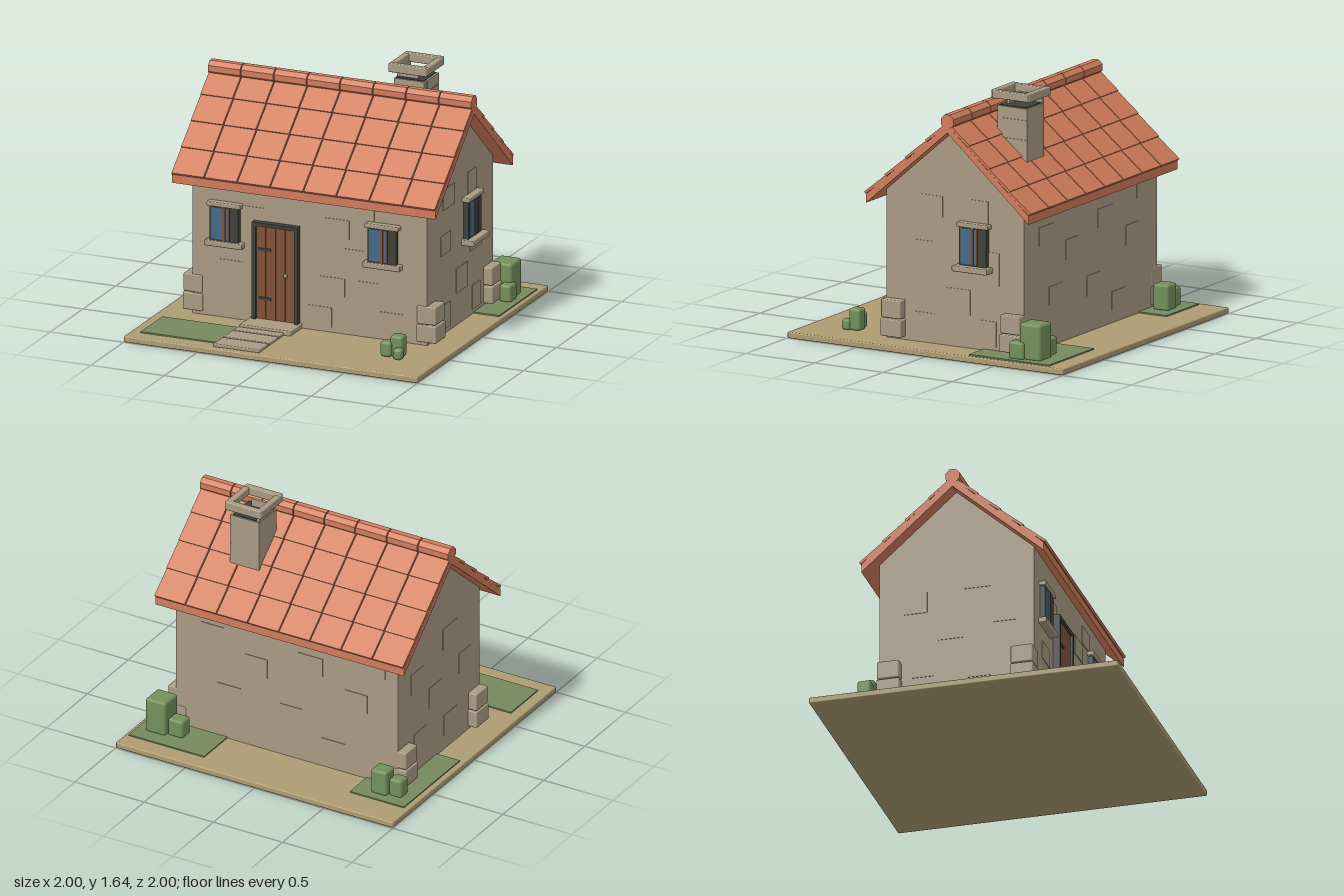
import * as THREE from 'three';
import { RoundedBoxGeometry } from 'three/addons/geometries/RoundedBoxGeometry.js';

const paint = (name, color) => {
  const m = new THREE.MeshStandardMaterial({ color });
  m.name = name;
  return m;
};

export function createModel() {
  const model = new THREE.Group();
  model.name = 'cottage';
  const stone = paint('stone', 0xa99b83);
  const soil = paint('soil', 0xad9c73);
  const grass = paint('grass', 0x768a5c);
  const leaf = paint('leaf', 0x73905a);
  const tile = paint('roofTile', 0xd07c5a);
  const wood = paint('wood', 0x7f5239);
  const dark = paint('darkFrame', 0x41413b);
  const glass = paint('glass', 0x44698a);
  const metal = paint('metal', 0x8f8a74);

  const group = (name, parent = model) => {
    const g = new THREE.Group();
    g.name = name;
    parent.add(g);
    return g;
  };
  const add = (parent, name, geometry, material) => {
    const m = new THREE.Mesh(geometry, material);
    m.name = name;
    parent.add(m);
    return m;
  };
  // box given by its limits; a radius makes it rounded
  const box = (parent, name, mat, [x0, x1], [y0, y1], [z0, z1], r = 0) => {
    const s = [x1 - x0, y1 - y0, z1 - z0];
    const geo = r ? new RoundedBoxGeometry(...s, 2, r) : new THREE.BoxGeometry(...s);
    const m = add(parent, name, geo, mat);
    m.position.set((x0 + x1) / 2, (y0 + y1) / 2, (z0 + z1) / 2);
    return m;
  };
  // prism along x from a (z, y) outline
  const prism = (parent, name, mat, points, halfWidth) => {
    const shape = new THREE.Shape(points.map(([z, y]) => new THREE.Vector2(-z, y)));
    const geo = new THREE.ExtrudeGeometry(shape, { depth: 2 * halfWidth, bevelEnabled: false });
    geo.translate(0, 0, -halfWidth);
    geo.rotateY(Math.PI / 2);
    return add(parent, name, geo, mat);
  };

  // ground, lawns and path
  box(model, 'ground', soil, [-1, 1], [0, 0.04], [-1, 1], 0.008);
  for (const [x, z] of [[[-0.93, -0.41], [0.565, 0.895]], [[-0.965, -0.575], [-0.805, -0.12]], [[0.43, 0.975], [-0.885, -0.305]]])
    box(model, 'lawn', grass, x, [0.038, 0.048], z);
  box(model, 'doorstep', stone, [-0.4, -0.05], [0.038, 0.072], [0.4, 0.58], 0.006);
  for (const z of [[0.585, 0.66], [0.668, 0.81], [0.818, 0.96]])
    box(model, 'pathSlab', stone, [-0.407, -0.095], [0.038, 0.06], z, 0.006);

  // house body with gables
  prism(model, 'walls', stone, [[0.4, 0.04], [0.4, 0.985], [-0.1, 1.42], [-0.6, 0.985], [-0.6, 0.04]], 0.8);

  // one frame per wall: local x runs along the wall, local z points outwards
  const wall = (name, x, z, turn) => {
    const g = group(name);
    g.position.set(x, 0, z);
    g.rotation.y = turn;
    return g;
  };
  const front = wall('frontWall', 0, 0.4, 0);
  const right = wall('leftSideWall', 0.8, -0.1, Math.PI / 2);
  const back = wall('backWall', 0, -0.6, Math.PI);
  const left = wall('rightSideWall', -0.8, -0.1, -Math.PI / 2);

  // shallow facing stones: [start, bottom, width, height]
  const stones = [
    [front, [[-0.46, 0.66, 0.15, 0.13], [0.1, 0.66, 0.17, 0.125], [0.32, 0.27, 0.155, 0.13], [0.07, 0.28, 0.17, 0.12],
      [0.48, 0.08, 0.17, 0.14], [0.23, 0.46, 0.15, 0.14], [-0.62, 0.3, 0.16, 0.12], [-0.02, 0.07, 0.17, 0.13], [0.27, 0.8, 0.17, 0.12]]],
    [right, [[-0.26, 0.85, 0.17, 0.135], [0.11, 0.82, 0.13, 0.17], [-0.3, 0.56, 0.15, 0.13], [-0.06, 0.25, 0.17, 0.16],
      [0.15, 0.46, 0.17, 0.21], [-0.29, 0.07, 0.14, 0.16], [0.18, 0.07, 0.12, 0.16]]],
    [back, [[-0.62, 0.7, 0.17, 0.12], [-0.3, 0.55, 0.16, 0.13], [0.08, 0.68, 0.18, 0.12], [0.42, 0.5, 0.16, 0.13],
      [-0.5, 0.3, 0.17, 0.12], [-0.05, 0.27, 0.16, 0.13], [0.25, 0.12, 0.17, 0.12], [0.55, 0.78, 0.16, 0.12]]],
    [left, [[-0.34, 0.62, 0.15, 0.14], [0.05, 0.75, 0.17, 0.15], [-0.12, 0.42, 0.16, 0.14], [0.24, 0.5, 0.15, 0.13],
      [-0.3, 0.18, 0.15, 0.14], [0.06, 0.14, 0.16, 0.14]]],
  ];
  for (const [parent, list] of stones)
    for (const [u, y, w, h] of list) box(parent, 'facingStone', stone, [u, u + w], [y, y + h], [-0.01, 0.004]);

  // corner stones, two at each corner
  for (const sx of [-1, 1])
    for (const z of [0.335, -0.53])
      for (const [y0, y1, d] of [[0.06, 0.172, 0], [0.178, 0.295, 0.004]])
        box(model, 'cornerStone', stone, [sx * 0.795 - 0.068 + d, sx * 0.795 + 0.068 - d], [y0, y1], [z - 0.075 + d, z + 0.075 - d], 0.008);

  // window: frame, panes, wooden bars, sill and lintel
  const windowAt = (parent, u, y, h, depth, sill) => {
    const g = group('window', parent);
    g.position.set(u, y, 0);
    box(g, 'windowFrame', dark, [-0.097, 0.097], [0, h], [-0.01, depth]);
    box(g, 'leftPane', glass, [-0.085, -0.013], [0.012, h - 0.012], [depth, depth + 0.003]);
    box(g, 'rightPane', glass, [0.011, 0.032], [0.012, h - 0.012], [depth, depth + 0.003]);
    box(g, 'mullion', wood, [-0.011, 0.009], [0.005, h - 0.005], [depth, depth + 0.008]);
    box(g, 'sashBar', wood, [0.032, 0.038], [0.005, h - 0.005], [depth, depth + 0.008]);
    box(g, 'sill', stone, [-0.127, 0.127], [-0.035, 0.002], [-0.01, sill], 0.006);
    box(g, 'lintel', stone, [-0.115, 0.115], [h - 0.005, h + 0.025], [-0.01, depth + 0.012], 0.006);
  };
  windowAt(front, -0.57, 0.545, 0.23, 0.032, 0.05);
  windowAt(front, 0.505, 0.545, 0.23, 0.032, 0.05);
  windowAt(right, 0.147, 0.572, 0.25, 0.036, 0.08);

  // plank door with frame, hinges and knob
  const door = group('door', front);
  for (const x of [[-0.375, -0.35], [-0.088, -0.065]]) box(door, 'doorPost', dark, x, [0.06, 0.705], [-0.01, 0.045]);
  box(door, 'doorHead', dark, [-0.35, -0.088], [0.682, 0.705], [-0.01, 0.045]);
  box(door, 'doorBacking', dark, [-0.35, -0.088], [0.06, 0.682], [-0.01, 0.015]);
  for (let i = 0; i < 4; i++)
    box(door, 'plank', wood, [-0.349 + i * 0.0655, -0.287 + i * 0.0655], [0.075, 0.682], [0, 0.03]);
  for (const y of [0.21, 0.53]) box(door, 'hinge', dark, [-0.335, -0.25], [y - 0.009, y + 0.009], [0.03, 0.037]);
  const knob = add(door, 'knob', new THREE.SphereGeometry(0.014, 10, 8), metal);
  knob.position.set(-0.145, 0.38, 0.045);

  // roof slab and overlapping tiles
  const roof = group('roof');
  prism(roof, 'roofSlab', tile, [[0.49, 0.905], [0.49, 0.96], [-0.1, 1.472], [-0.69, 0.96], [-0.69, 0.905], [-0.1, 1.42]], 0.897);
  const pitch = Math.atan2(0.512, 0.59);
  const row = Math.hypot(0.512, 0.59) / 4;
  const tileGeo = new THREE.BoxGeometry(0.217, 0.016, row + 0.004);
  for (const turn of [0, Math.PI]) {
    const side = group('roofSide', roof);
    side.position.set(0, 1.472, -0.1);
    side.rotation.y = turn;
    const slope = group('tiles', side);
    slope.rotation.x = pitch;
    for (let r = 0; r < 4; r++)
      for (let c = 0; c < 8; c++) {
        const t = add(slope, 'roofTile', tileGeo, tile);
        t.position.set((c - 3.5) * 0.225, 0.008, (r + 0.5) * row);
        t.rotation.x = -0.04;
      }
  }
  const ridgeGeo = new THREE.CylinderGeometry(0.05, 0.05, 0.218, 8).toNonIndexed();
  ridgeGeo.rotateZ(Math.PI / 2).rotateX(Math.PI / 8);
  ridgeGeo.computeVertexNormals();
  for (let i = 0; i < 8; i++)
    add(roof, 'ridgeTile', ridgeGeo, tile).position.set((i - 3.5) * 0.225, 1.49, -0.1);

  // chimney with facing stones, raised open cap
  const chimney = group('chimney');
  box(chimney, 'stack', stone, [0.295, 0.5], [1.1, 1.535], [-0.44, -0.225]);
  box(chimney, 'flue', dark, [0.305, 0.49], [1.53, 1.54], [-0.43, -0.235]);
  for (const y of [[1.18, 1.335], [1.34, 1.46], [1.465, 1.535]])
    box(chimney, 'stackStone', stone, [0.49, 0.505], y, [-0.438, -0.262]);
  box(chimney, 'capSupport', stone, [0.297, 0.315], [1.53, 1.59], [-0.438, -0.262]);
  box(chimney, 'capSupport', stone, [0.315, 0.445], [1.53, 1.59], [-0.28, -0.262]);
  for (const z of [[-0.472, -0.432], [-0.235, -0.195]])
    box(chimney, 'capEdge', stone, [0.267, 0.527], [1.58, 1.637], z, 0.007);
  for (const x of [[0.264, 0.304], [0.488, 0.53]])
    box(chimney, 'capEdge', stone, x, [1.583, 1.634], [-0.465, -0.202], 0.007);

  // bushes: [x, z, width, depth, top]
  const bushes = [
    [0.655, 0.68, 0.075, 0.075, 0.14], [0.72, 0.66, 0.085, 0.08, 0.18], [0.745, 0.715, 0.06, 0.06, 0.11],
    [0.842, -0.708, 0.145, 0.155, 0.275], [0.895, -0.62, 0.08, 0.105, 0.155], [0.715, -0.71, 0.11, 0.1, 0.16],
    [-0.745, -0.69, 0.115, 0.11, 0.21], [-0.85, -0.675, 0.09, 0.09, 0.165],
  ];
  for (const [x, z, w, d, top] of bushes)
    box(model, 'bush', leaf, [x - w / 2, x + w / 2], [0.04, top], [z - d / 2, z + d / 2], 0.018);

  return model;
}
